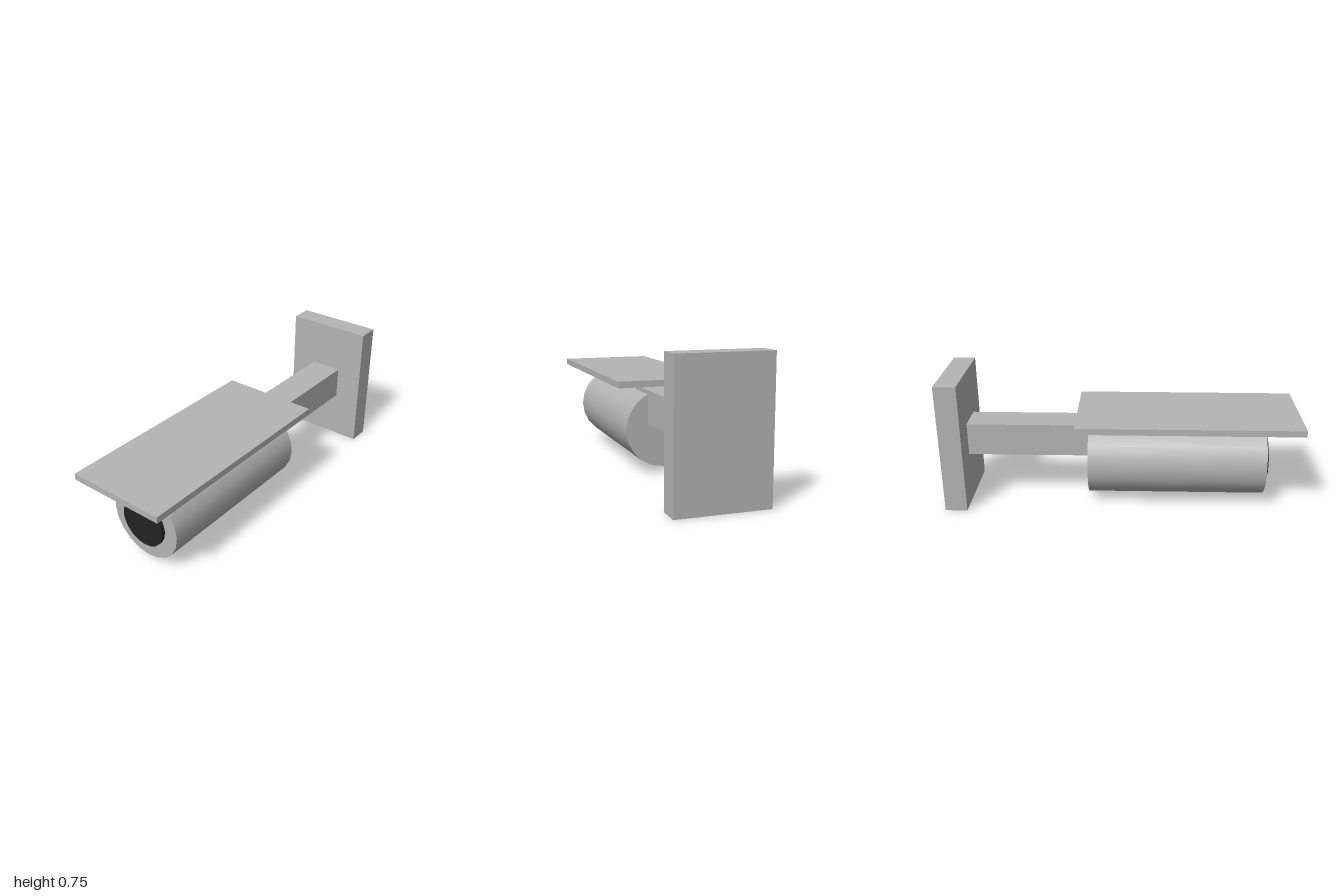
import * as THREE from 'three';

export function createModel() {
  const model = new THREE.Group();
  model.name = 'securityCamera';

  const grey = new THREE.MeshStandardMaterial({ color: 0xb4b4b4 });
  grey.name = 'grey casing';
  const black = new THREE.MeshStandardMaterial({ color: 0x222222 });
  black.name = 'black lens';

  const add = (name, geometry, material, x, y, z) => {
    const mesh = new THREE.Mesh(geometry, material);
    mesh.name = name;
    mesh.position.set(x, y, z);
    model.add(mesh);
  };
  // Box centred on x, given by its y and z limits
  const box = (name, width, y0, y1, z0, z1) =>
    add(name, new THREE.BoxGeometry(width, y1 - y0, z1 - z0), grey, 0, (y0 + y1) / 2, (z0 + z1) / 2);
  // Smooth 20-sided cylinder lying along z
  const barrel = (name, radius, z0, z1, material) =>
    add(name, new THREE.CylinderGeometry(radius, radius, z1 - z0, 20).rotateX(Math.PI / 2),
      material, 0, 0.251, (z0 + z1) / 2);

  // Wall mount and arm; the arm runs into the back of the body
  box('wallPlate', 0.5, 0, 0.75, -1, -0.875);
  box('arm', 0.186, 0.283, 0.469, -0.875, 0.035);

  // Camera body, lens and the sun shield floating above
  barrel('body', 0.218, -0.185, 0.815, grey);
  barrel('lens', 0.137, 0.79, 0.835, black);
  box('sunShield', 0.562, 0.496, 0.532, -0.25, 1);

  return model;
}
